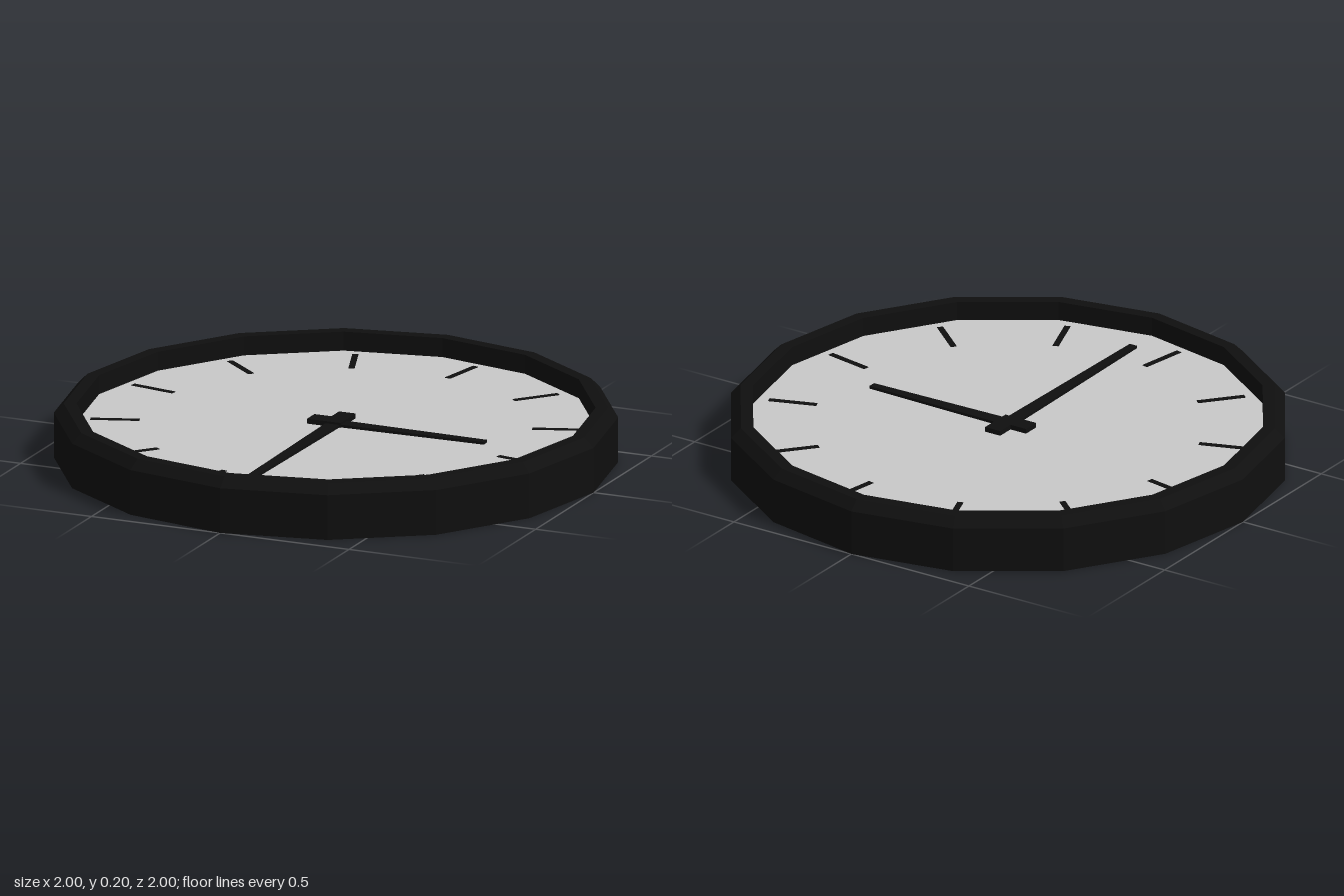
import * as THREE from 'three';

const SIDES = 16;
const FACE_Y = 0.13;

export function createModel() {
  const black = new THREE.MeshStandardMaterial({ color: 0x0f0f0f, flatShading: true });
  black.name = 'black';
  const grey = new THREE.MeshStandardMaterial({ color: 0xc8c8c8, flatShading: true });
  grey.name = 'light grey';

  const clock = new THREE.Group();
  clock.name = 'wallClock';

  const add = (parent, name, geometry, material) => {
    const mesh = new THREE.Mesh(geometry, material);
    mesh.name = name;
    parent.add(mesh);
    return mesh;
  };

  // Casing: flat back, chamfered outer edge and a recessed inner wall
  const profile = [[0, 0], [1, 0], [1, 0.165], [0.965, 0.2], [0.92, 0.2], [0.92, FACE_Y]];
  add(clock, 'casing', new THREE.LatheGeometry(profile.map(([r, y]) => new THREE.Vector2(r, y)), SIDES), black);

  // Dial
  const dial = add(clock, 'dial', new THREE.CircleGeometry(0.92, SIDES), grey);
  dial.rotation.x = -Math.PI / 2;
  dial.position.y = FACE_Y;

  // Twelve hour marks
  const markGeometry = new THREE.BoxGeometry(0.175, 0.002, 0.022).translate(0.785, FACE_Y + 0.001, 0);
  for (let i = 0; i < 12; i++) {
    const mark = add(clock, 'hourMark' + (i + 1), markGeometry, black);
    mark.rotation.y = -THREE.MathUtils.degToRad(10.3 + i * 30);
  }

  // Hands: a tapered blade with a wider tail block
  const addHand = (name, length, turn) => {
    const hand = new THREE.Group();
    hand.name = name;
    const outline = new THREE.Shape([
      new THREE.Vector2(0, -0.027), new THREE.Vector2(length, -0.015),
      new THREE.Vector2(length, 0.015), new THREE.Vector2(0, 0.027),
    ]);
    const blade = new THREE.ExtrudeGeometry(outline, { depth: 0.01, bevelEnabled: false });
    add(hand, name + 'Blade', blade.rotateX(-Math.PI / 2), black);
    add(hand, name + 'Tail', new THREE.BoxGeometry(0.13, 0.018, 0.064).translate(-0.033, 0.009, 0), black);
    hand.position.y = FACE_Y;
    hand.rotation.y = turn;
    clock.add(hand);
  };
  addHand('hourHand', 0.58, 0);
  addHand('minuteHand', 0.8, -Math.PI / 2);

  return clock;
}
